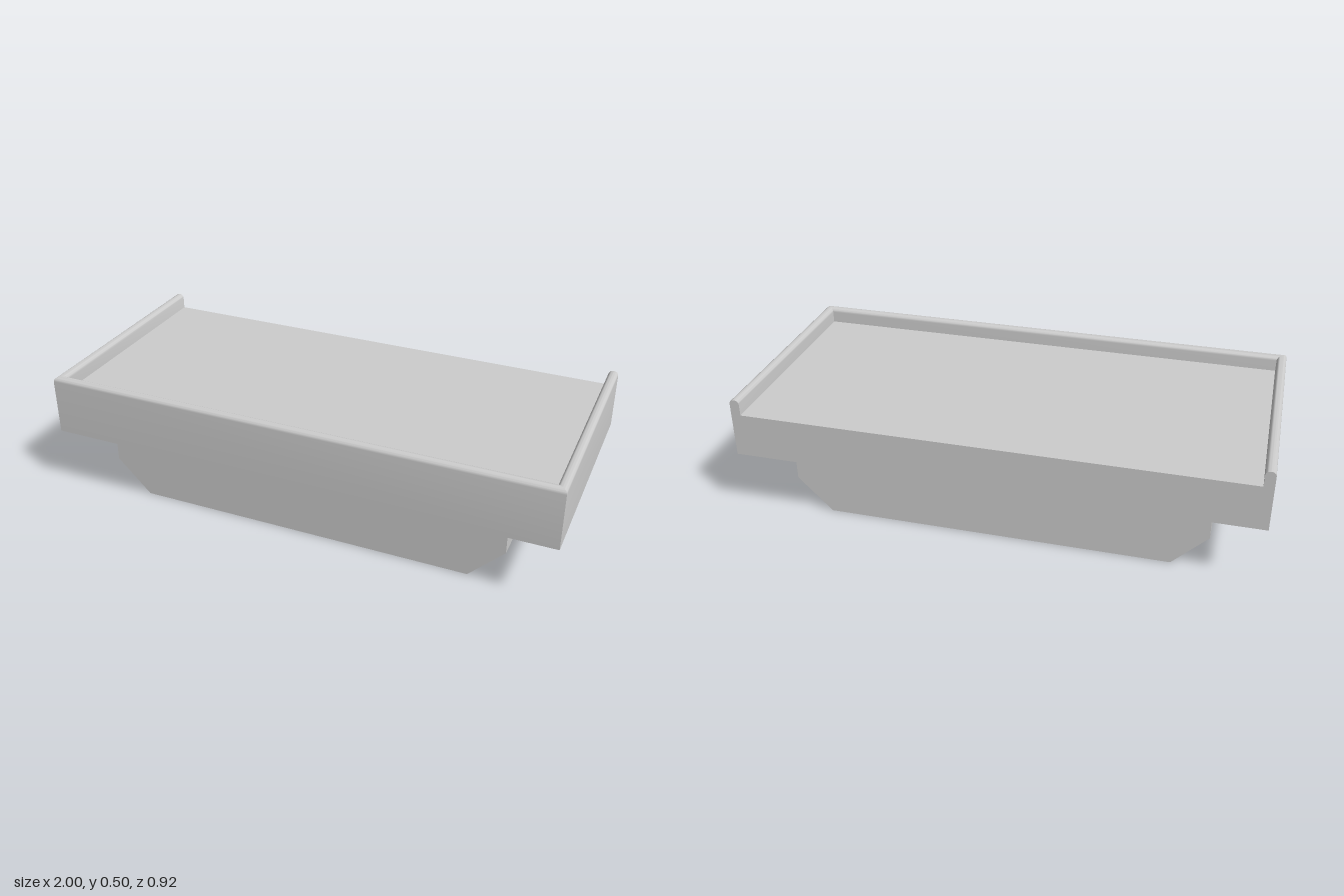
import * as THREE from 'three';
import { toCreasedNormals } from 'three/addons/utils/BufferGeometryUtils.js';

const material = new THREE.MeshStandardMaterial({ color: 0xcccccc });
const HALF_X = 1, HALF_Z = 0.458;        // outer size of the tray
const BOTTOM = 0.266, FLOOR = 0.44, TOP = 0.502;
const RIM = 0.038, ROUND = 0.017;        // rim thickness and edge radius

function addMesh(group, name, geometry) {
  const mesh = new THREE.Mesh(geometry, material);
  mesh.name = name;
  group.add(mesh);
  return mesh;
}

// Rim cross-section as [inset from the outer wall, height], rounded on top
function rimProfile() {
  const points = [[0, BOTTOM]];
  const steps = 6;
  for (const [centre, start] of [[ROUND, Math.PI], [RIM - ROUND, Math.PI / 2]]) {
    for (let i = 0; i <= steps; i++) {
      const a = start - (i / steps) * Math.PI / 2;
      points.push([centre + ROUND * Math.cos(a), TOP - ROUND + ROUND * Math.sin(a)]);
    }
  }
  points.push([RIM, BOTTOM]);
  return points;
}

// Sweep the cross-section round left, front and right, with mitred corners
function rimGeometry() {
  const profile = rimProfile();
  const n = profile.length;
  const stations = [[-1, 0], [-1, 1], [1, 1], [1, 0]];
  const positions = [], indices = [];
  for (const [sx, front] of stations) {
    for (const [d, y] of profile) {
      positions.push(sx * (HALF_X - d), y, front ? HALF_Z - d : -HALF_Z);
    }
  }
  for (let s = 0; s < 3; s++) {
    for (let i = 0; i < n; i++) {
      const j = (i + 1) % n;
      const a = s * n + i, b = s * n + j, c = a + n, d = b + n;
      indices.push(a, c, b, b, c, d);
    }
  }
  // Flat caps on the two open back ends
  const caps = THREE.ShapeUtils.triangulateShape(profile.map(p => new THREE.Vector2(...p)), []);
  const last = 3 * n;
  for (const [a, b, c] of caps) {
    // The profile runs clockwise, so orient each cap to face the back
    const [pa, pb, pc] = [profile[a], profile[b], profile[c]];
    const cross = (pb[0] - pa[0]) * (pc[1] - pa[1]) - (pb[1] - pa[1]) * (pc[0] - pa[0]);
    const [p, q] = cross > 0 ? [c, b] : [b, c];
    indices.push(a, p, q, last + a, last + q, last + p);
  }
  const geometry = new THREE.BufferGeometry();
  geometry.setAttribute('position', new THREE.Float32BufferAttribute(positions, 3));
  geometry.setIndex(indices);
  return toCreasedNormals(geometry, Math.PI / 6);
}

export function createModel() {
  const group = new THREE.Group();
  group.name = 'tray';

  // Base block with its lower ends cut at a slant
  const baseShape = new THREE.Shape([
    [-0.67, 0], [0.67, 0], [0.804, 0.134], [0.804, BOTTOM], [-0.804, BOTTOM], [-0.804, 0.134],
  ].map(p => new THREE.Vector2(...p)));
  const baseDepth = 0.738;
  const base = new THREE.ExtrudeGeometry(baseShape, { depth: baseDepth, bevelEnabled: false });
  addMesh(group, 'base', base.translate(0, 0, -baseDepth / 2));

  // Flat slab inside the rim, open at the back
  const depth = 2 * HALF_Z - RIM;
  const slab = addMesh(group, 'traySlab', new THREE.BoxGeometry(2 * (HALF_X - RIM), FLOOR - BOTTOM, depth));
  slab.position.set(0, (FLOOR + BOTTOM) / 2, -RIM / 2);

  // Raised rounded rim on three sides
  addMesh(group, 'rim', rimGeometry());
  return group;
}
